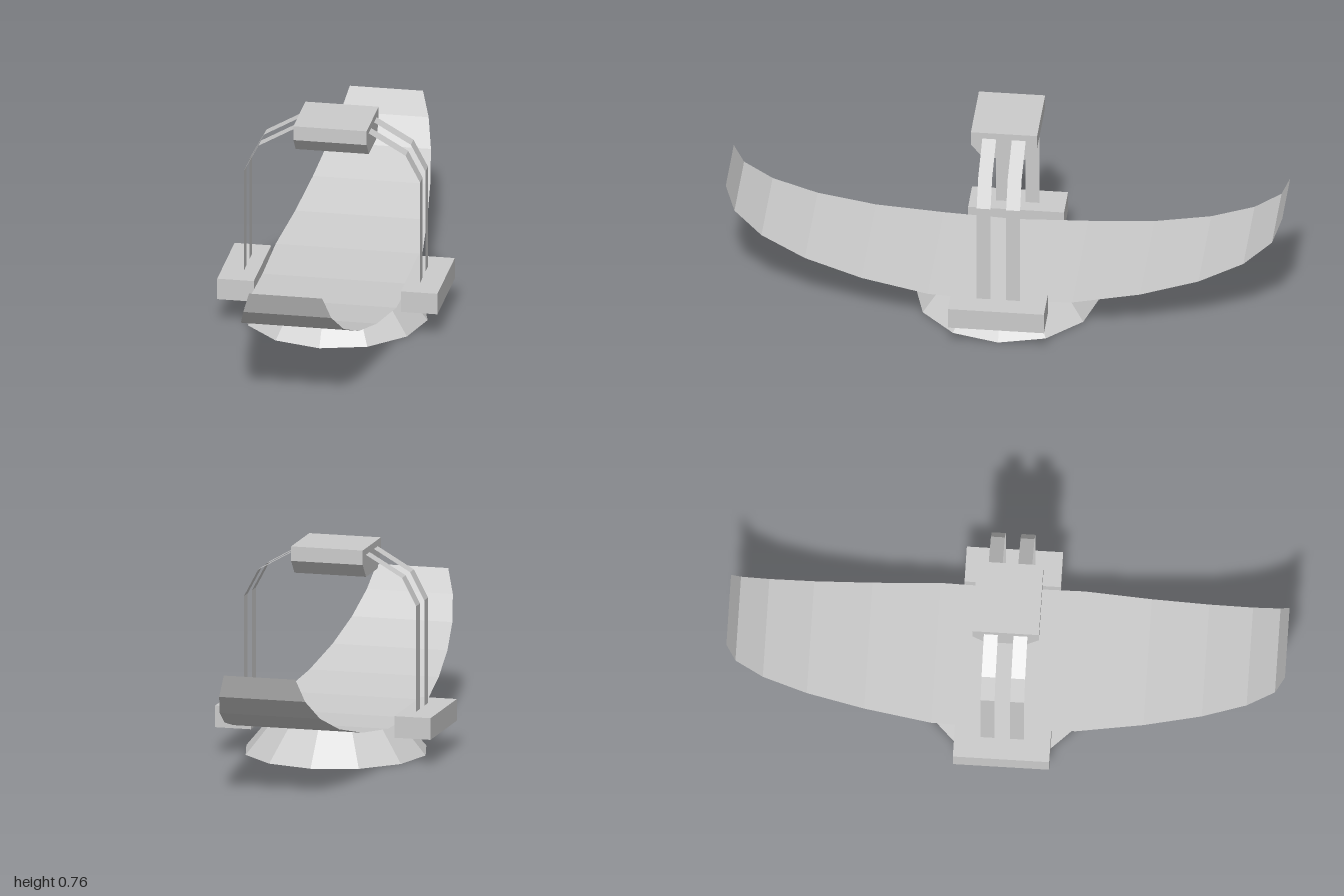
import * as THREE from 'three';

const solid = new THREE.MeshStandardMaterial({ color: 0xcccccc, flatShading: true });
const sheet = new THREE.MeshStandardMaterial({ color: 0xcccccc, flatShading: true, side: THREE.DoubleSide });

function add(parent, name, geometry, material) {
  const mesh = new THREE.Mesh(geometry, material);
  mesh.name = name;
  parent.add(mesh);
  return mesh;
}

// Flat-faced strip through a row of edges, each edge a pair of points [a, b]
function strip(edges) {
  const pos = [];
  for (let i = 0; i + 1 < edges.length; i++) {
    const [a, b] = edges[i], [c, d] = edges[i + 1];
    pos.push(...a, ...b, ...d, ...a, ...d, ...c);
  }
  const geometry = new THREE.BufferGeometry();
  geometry.setAttribute('position', new THREE.Float32BufferAttribute(pos, 3));
  geometry.computeVertexNormals();
  return geometry;
}

export function createModel() {
  const model = new THREE.Group();
  model.name = 'rockerLounger';

  // Base: open twelve-sided flared skirt
  const base = add(model, 'base', new THREE.CylinderGeometry(0.22, 0.333, 0.135, 12, 1, true), sheet);
  base.position.y = 0.0675;

  // Seat: half-ellipse sheet, tapering towards both ends
  const edges = [];
  for (let i = -6; i <= 6; i++) {
    const t = (i * Math.PI) / 12;
    const y = 0.469 - 0.334 * Math.cos(t);
    const z = Math.sin(t);
    const w = Math.min(0.267, 0.133 + 0.0267 * (6 - Math.abs(i)));
    edges.push([[-w, y, z], [w, y, z]]);
  }
  add(model, 'seat', strip(edges), sheet);

  // Side blocks and paired flat arms, mirrored left and right
  const armPath = [[0.32, 0.17], [0.32, 0.56], [0.267, 0.66], [0.133, 0.737]];
  for (const side of [1, -1]) {
    const label = side > 0 ? 'left' : 'right';
    const block = add(model, label + 'Block', new THREE.BoxGeometry(0.133, 0.079, 0.345), solid);
    block.position.set(side * 0.3335, 0.1355, 0);
    for (const z of [0.053, -0.053]) {
      const rows = armPath.map(([x, y]) => [[side * x, y, z - 0.025], [side * x, y, z + 0.025]]);
      add(model, label + (z > 0 ? 'Front' : 'Back') + 'Arm', strip(rows), sheet);
    }
  }

  // Overhead unit: box with both lower long edges bevelled
  const section = new THREE.Shape([
    [-0.075, 0.656], [0.075, 0.656], [0.119, 0.708], [0.119, 0.761], [-0.119, 0.761], [-0.119, 0.708],
  ].map(([x, y]) => new THREE.Vector2(x, y)));
  const head = new THREE.ExtrudeGeometry(section, { depth: 0.266, bevelEnabled: false });
  head.translate(0, 0, -0.133).rotateY(Math.PI / 2);
  add(model, 'overheadUnit', head, solid);

  return model;
}
